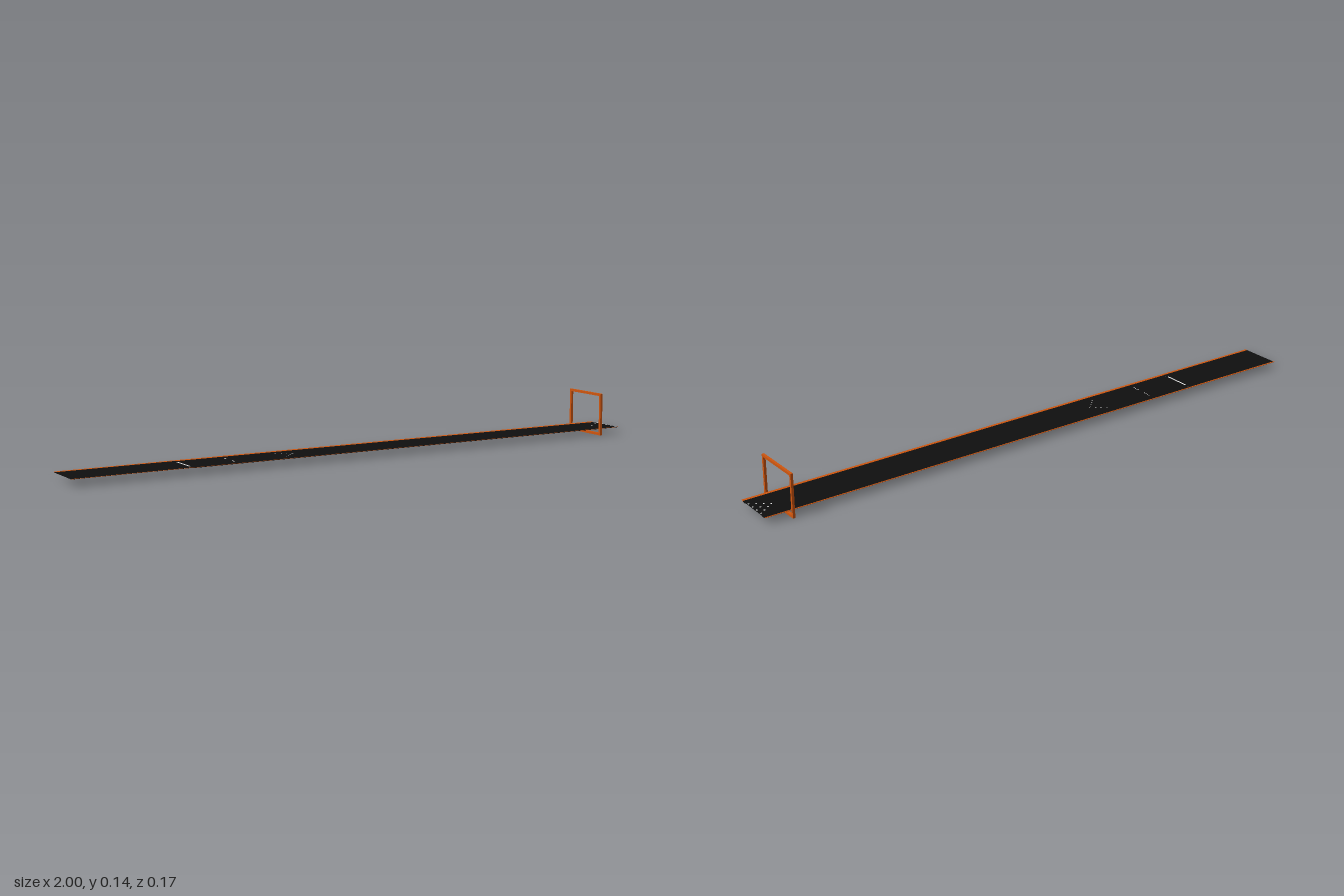
import * as THREE from 'three';

const mat = (name, color) => {
  const m = new THREE.MeshStandardMaterial({ color });
  m.name = name;
  return m;
};

export function createModel() {
  const black = mat('laneBlack', 0x0f0f0f);
  const orange = mat('trimOrange', 0xd0560e);
  const white = mat('markWhite', 0xf2f2f2);
  const group = new THREE.Group();

  const add = (name, geometry, material, x = 0, y = 0, z = 0) => {
    const mesh = new THREE.Mesh(geometry, material);
    mesh.name = name;
    mesh.position.set(x, y, z);
    group.add(mesh);
  };

  // Extrude a (z, y) cross-section along x
  const alongX = (shape, x0, x1) =>
    new THREE.ExtrudeGeometry(shape, { depth: x1 - x0, bevelEnabled: false })
      .rotateY(Math.PI / 2).translate(x0, 0, 0);

  // Thin sheet following a polyline of [z, top height]
  const sheet = (points, t) => new THREE.Shape([
    ...points.map(([z, y]) => new THREE.Vector2(z, y - t)),
    ...[...points].reverse().map(([z, y]) => new THREE.Vector2(z, y)),
  ]);

  const FOUL = -0.615, TOP = 0.0215, T = 0.0015;

  // Flat approach in front of the foul line
  add('approach', alongX(sheet([[-0.066, TOP], [0.066, TOP]], T), -1, FOUL), black);

  // Lane with a shallow gutter on each side
  const half = [[0.046, TOP], [0.052, 0.0195], [0.057, 0.019], [0.066, 0.0208]];
  const profile = [...half.map(([z, y]) => [-z, y]).reverse(), ...half];
  add('laneAndGutters', alongX(sheet(profile, T), FOUL, 1), black);

  // Orange edge strips, sloped beside the gutters
  for (const s of [-1, 1]) {
    const strip = (inner) => sheet(
      [[s * 0.066, inner], [s * 0.073, 0.0225]].sort((a, b) => a[0] - b[0]), 0.001);
    add('approachEdge', alongX(strip(TOP), -1, FOUL), orange);
    add('laneEdge', alongX(strip(0.0208), FOUL, 1), orange);
  }

  // Markings, inlaid through the sheet
  const markY = TOP - T / 2, markT = T + 0.001;
  add('foulLine', new THREE.BoxGeometry(0.005, markT, 0.09), white, FOUL, markY, 0);

  const dot = new THREE.CylinderGeometry(0.0022, 0.0022, markT, 12);
  for (const s of [-1, 1])
    for (let i = 0; i < 4; i++)
      add('guideDot', dot, white, -0.46, markY, s * (0.016 + i * 0.0075));

  // Seven aiming arrows in a V
  const arrow = alongX(new THREE.Shape(), 0, 0.001) && new THREE.CylinderGeometry(0.003, 0.003, markT, 3)
    .rotateY(Math.PI / 2).scale(1.4, 1, 0.7);
  for (let i = -3; i <= 3; i++)
    add('aimingArrow', arrow, white, -0.24 - Math.abs(i) * 0.0135, markY, i * 0.0125);

  // Ten pin spots in a triangle
  const spot = new THREE.CylinderGeometry(0.0028, 0.0028, markT, 14);
  for (let row = 0; row < 4; row++)
    for (let i = 0; i <= row; i++)
      add('pinSpot', spot, white, 0.942 + row * 0.018, markY, (i - row / 2) * 0.025);

  // Square frame around the pin end
  const frame = new THREE.Shape([[-0.085, 0], [0.085, 0], [0.085, 0.143], [-0.085, 0.143]]
    .map((p) => new THREE.Vector2(...p)));
  frame.holes.push(new THREE.Path([[-0.077, 0.008], [-0.077, 0.135], [0.077, 0.135], [0.077, 0.008]]
    .map((p) => new THREE.Vector2(...p))));
  add('pinFrame', alongX(frame, 0.911, 0.919), orange);

  return group;
}
